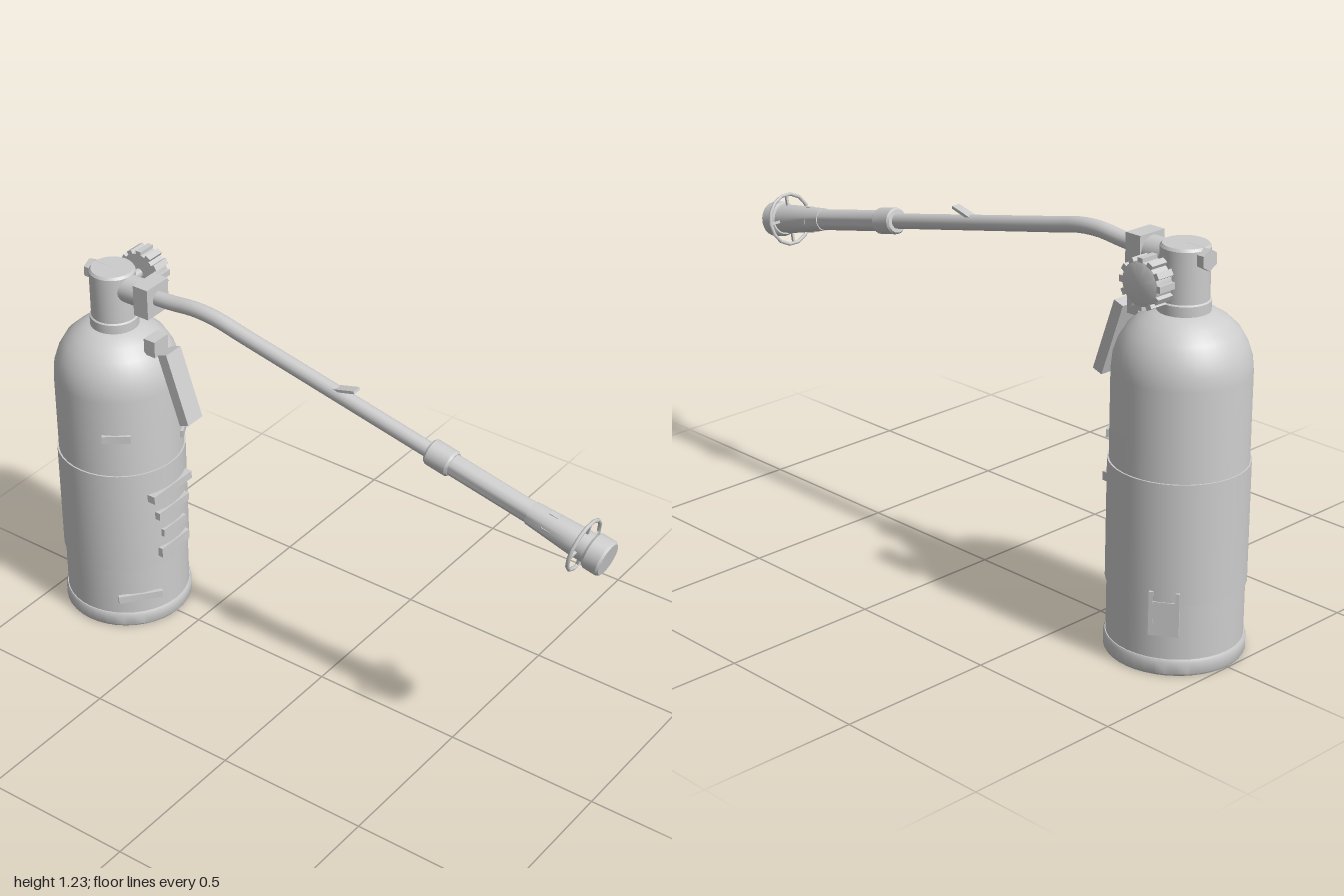
import * as THREE from 'three';
import { toCreasedNormals } from 'three/addons/utils/BufferGeometryUtils.js';

const V2 = (p) => p.map(([r, y]) => new THREE.Vector2(r, y));

export function createModel() {
  const model = new THREE.Group();
  const metal = new THREE.MeshStandardMaterial({ color: 0xcccccc });
  metal.name = 'light grey metal';

  const add = (parent, name, geometry, x = 0, y = 0, z = 0) => {
    const mesh = new THREE.Mesh(geometry, metal);
    mesh.name = name;
    mesh.position.set(x, y, z);
    parent.add(mesh);
    return mesh;
  };
  const box = (w, h, d) => new THREE.BoxGeometry(w, h, d);
  const lathe = (points, segments = 32) =>
    toCreasedNormals(new THREE.LatheGeometry(V2(points), segments), 0.6);
  // Lathe turned so that its axis runs along +z
  const latheZ = (points, segments = 24) => lathe(points, segments).rotateX(Math.PI / 2);

  // Fuel tank with everything mounted around its axis
  const tank = new THREE.Group();
  tank.name = 'tank';
  tank.position.z = -0.793;
  model.add(tank);
  add(tank, 'tankBody', lathe([[0, 0.02], [0.2, 0.02], [0.2, 0.86], [0.196, 0.9], [0.183, 0.94],
    [0.16, 0.98], [0.128, 1.01], [0.09, 1.033], [0, 1.045]], 40));
  add(tank, 'baseRing', lathe([[0, 0], [0.203, 0], [0.207, 0.006], [0.207, 0.042],
    [0.203, 0.05], [0, 0.05]], 40));
  add(tank, 'sleeve', lathe([[0.198, 0.22], [0.205, 0.22], [0.205, 0.59], [0.198, 0.59]], 40));
  add(tank, 'neckRing', lathe([[0, 1.025], [0.077, 1.025], [0.077, 1.065], [0.07, 1.07], [0, 1.07]]));

  // Flat raised bars on the front of the sleeve
  for (const [x, y, w, h] of [[-0.002, 0.495, 0.187, 0.027], [0, 0.42, 0.148, 0.027],
    [0, 0.346, 0.11, 0.027], [0, 0.275, 0.137, 0.034]]) {
    add(tank, 'labelBar', box(w, h, 0.03), x, y, 0.195);
  }
  // Small plates lying against the tank wall
  for (const [x, y, w, h] of [[-0.16, 0.73, 0.09, 0.025], [0.1, 0.652, 0.068, 0.025],
    [-0.125, 0.113, 0.145, 0.025]]) {
    const a = Math.asin(x / 0.2);
    const plate = add(tank, 'wallPlate', box(w, h, 0.014), x, y, 0.2 * Math.cos(a));
    plate.rotation.y = a;
  }
  // Two-pronged bracket on the back left
  const bracket = new THREE.Group();
  bracket.name = 'bracket';
  bracket.rotation.y = Math.PI / 2 + 0.57;
  tank.add(bracket);
  add(bracket, 'bracketPlate', box(0.08, 0.105, 0.012), 0, 0.177, 0.201);
  for (const s of [-1, 1]) add(bracket, 'bracketProng', box(0.012, 0.135, 0.018), s * 0.038, 0.193, 0.2);

  // Slanted grip hanging in front of the shoulder
  add(model, 'gripMount', box(0.065, 0.055, 0.042), 0, 1.012, -0.63);
  const grip = add(model, 'grip', box(0.07, 0.24, 0.036), 0, 0.893, -0.54);
  grip.rotation.x = -0.33;

  // Valve head, rear boss and front outlet
  add(tank, 'valveBody', lathe([[0, 1.05], [0.072, 1.05], [0.072, 1.22], [0.066, 1.228], [0, 1.228]]));
  add(tank, 'rearBoss', latheZ([[0, -0.09], [0.032, -0.09], [0.032, 0], [0, 0]], 6), 0, 1.197, 0);
  add(model, 'outlet', latheZ([[0, -0.76], [0.045, -0.76], [0.045, -0.66], [0, -0.66]]), 0, 1.176, 0);
  add(model, 'outletNut', box(0.1, 0.102, 0.055), 0, 1.177, -0.642);

  // Ribbed control knob on the left
  const knob = new THREE.Group();
  knob.name = 'knob';
  knob.position.set(0, 1.15, 0);
  tank.add(knob);
  const alongX = (g) => g.rotateZ(-Math.PI / 2);
  add(knob, 'knobStem', alongX(lathe([[0, 0.05], [0.015, 0.05], [0.015, 0.13], [0, 0.13]], 16)));
  add(knob, 'knobDisc', alongX(lathe([[0, 0.125], [0.064, 0.125], [0.064, 0.184], [0.056, 0.188], [0, 0.188]])));
  for (let i = 0; i < 12; i++) {
    const a = (i / 12) * Math.PI * 2;
    const rib = add(knob, 'knobRib', box(0.06, 0.022, 0.019), 0.155, 0.064 * Math.cos(a), 0.064 * Math.sin(a));
    rib.rotation.x = a;
  }

  // Bent gas tube
  const slope = 0.212;
  const onAxis = (z) => new THREE.Vector3(0, 1.104 - slope * z, z);
  const path = new THREE.CurvePath();
  path.add(new THREE.CatmullRomCurve3([[1.178, -0.65], [1.183, -0.56], [1.192, -0.47], [1.187, -0.39]]
    .map(([y, z]) => new THREE.Vector3(0, y, z)).concat(onAxis(-0.3))));
  path.add(new THREE.LineCurve3(onAxis(-0.3), onAxis(0.5)));
  add(model, 'gasTube', new THREE.TubeGeometry(path, 40, 0.024, 16));

  // Burner parts along the sloping tube axis
  const burner = new THREE.Group();
  burner.name = 'burner';
  burner.position.y = 1.104;
  burner.rotation.x = Math.atan(slope);
  model.add(burner);
  add(burner, 'collar', latheZ([[0, 0.395], [0.036, 0.395], [0.041, 0.402], [0.041, 0.47],
    [0.036, 0.477], [0, 0.477]]));
  add(burner, 'burnerTube', latheZ([[0, 0.46], [0.033, 0.46], [0.033, 0.77], [0, 0.77]]));
  add(burner, 'burnerCone', latheZ([[0, 0.75], [0.036, 0.75], [0.045, 0.9], [0.045, 0.965], [0, 0.965]]));
  add(burner, 'nozzleCup', latheZ([[0, 0.952], [0.05, 0.952], [0.056, 0.96], [0.056, 1.003],
    [0.05, 1.01], [0, 1.01]]));
  add(burner, 'guardRing', new THREE.TorusGeometry(0.081, 0.006, 8, 14), 0, 0, 0.928);
  for (let i = 0; i < 4; i++) {
    const a = (i / 4) * Math.PI * 2;
    const spoke = add(burner, 'guardSpoke', box(0.045, 0.008, 0.008), 0.06 * Math.cos(a), 0.06 * Math.sin(a), 0.928);
    spoke.rotation.z = a;
  }
  // Air vents around the cone
  for (let i = 0; i < 4; i++) {
    const a = (i / 4) * Math.PI * 2;
    const vent = add(burner, 'airVent', box(0.006, 0.016, 0.03), 0.038 * Math.cos(a), 0.038 * Math.sin(a), 0.82);
    vent.rotation.z = a;
  }
  // Raised tab on top of the tube
  const tab = add(burner, 'tubeTab', box(0.03, 0.009, 0.085), 0, 0.03, 0.08);
  tab.rotation.x = -0.47;

  return model;
}
